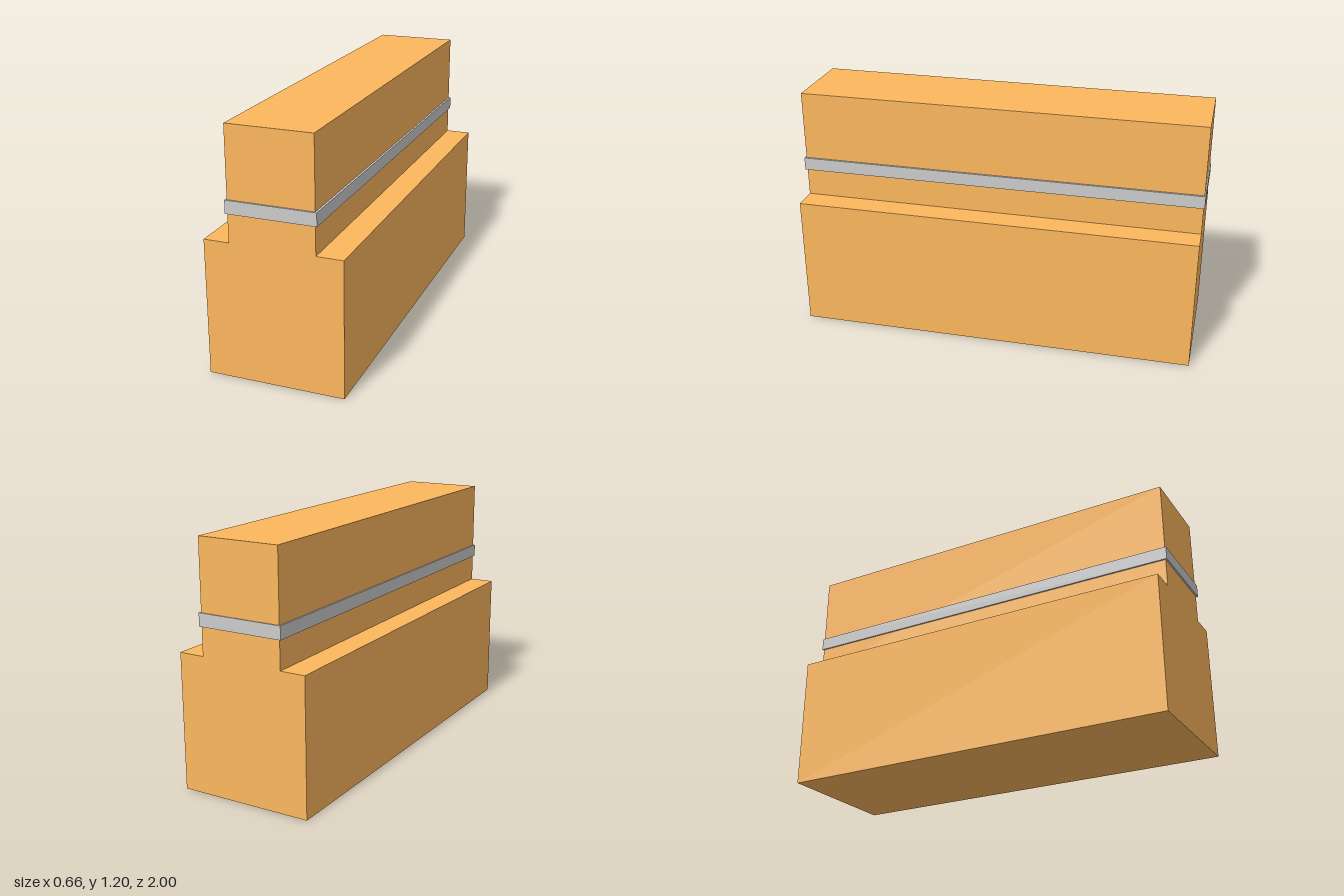
import * as THREE from 'three';

export function createModel() {
  const group = new THREE.Group();
  const orange = new THREE.MeshStandardMaterial({ color: 0xfcb75d });
  const grey = new THREE.MeshStandardMaterial({ color: 0xcccccc });

  // Stepped body: one T-shaped section extruded along z
  const base = 0.33, left = 0.203, right = -0.207, step = 0.66, top = 1.2;
  const section = new THREE.Shape([
    [-base, 0], [base, 0], [base, step], [left, step],
    [left, top], [right, top], [right, step], [-base, step],
  ].map(([x, y]) => new THREE.Vector2(x, y)));
  const bodyGeometry = new THREE.ExtrudeGeometry(section, { depth: 1.987, bevelEnabled: false });
  bodyGeometry.translate(0, 0, -0.995);
  const body = new THREE.Mesh(bodyGeometry, orange);
  body.name = 'steppedBody';
  group.add(body);

  // Thin band wrapped around the narrow upper part
  const outline = new THREE.Shape([
    [-0.215, -1], [0.213, -1], [0.213, 1], [-0.215, 1],
  ].map(([x, y]) => new THREE.Vector2(x, y)));
  outline.holes.push(new THREE.Path([
    [right, -0.992], [right, 0.995], [left, 0.995], [left, -0.992],
  ].map(([x, y]) => new THREE.Vector2(x, y))));
  const bandGeometry = new THREE.ExtrudeGeometry(outline, { depth: 0.063, bevelEnabled: false });
  bandGeometry.rotateX(-Math.PI / 2);
  const band = new THREE.Mesh(bandGeometry, grey);
  band.position.y = 0.797;
  band.name = 'band';
  group.add(band);

  return group;
}
